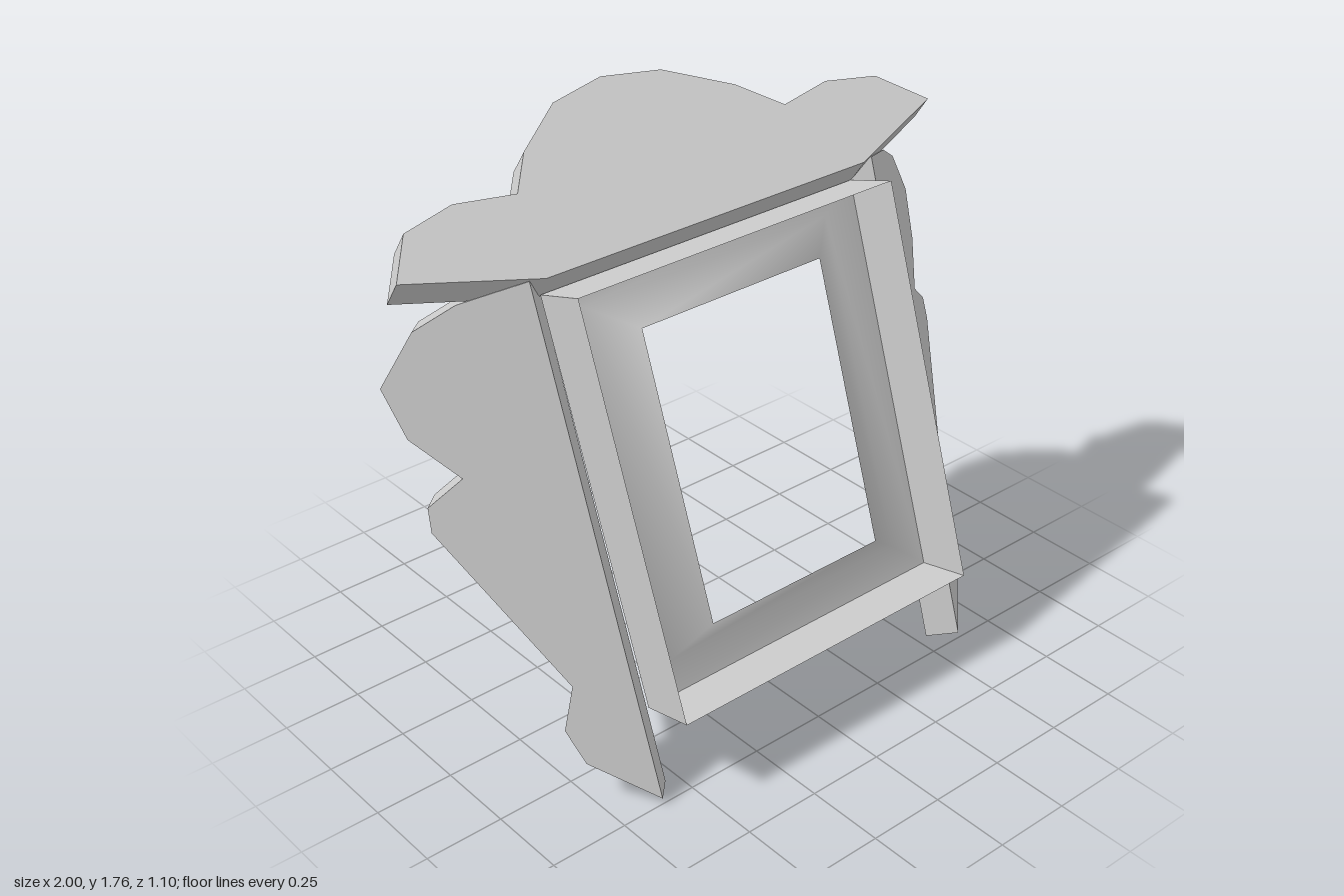
import * as THREE from 'three';
import { toCreasedNormals } from 'three/addons/utils/BufferGeometryUtils.js';

const material = new THREE.MeshStandardMaterial({ color: 0xcccccc });
const thinMaterial = new THREE.MeshStandardMaterial({ color: 0xcccccc, side: THREE.DoubleSide });

// Slab cut from an outline; place(a, b) puts an outline point on the tilted
// front face, offset leads from the front face to the back face.
function slab(name, outline, place, offset) {
  const shape = new THREE.Shape(outline.map(([a, b]) => new THREE.Vector2(a, b)));
  const geometry = new THREE.ExtrudeGeometry(shape, { depth: 1, bevelEnabled: false });
  const pos = geometry.attributes.position;
  for (let i = 0; i < pos.count; i++) {
    const p = place(pos.getX(i), pos.getY(i)).addScaledVector(offset, 1 - pos.getZ(i));
    pos.setXYZ(i, p.x, p.y, p.z);
  }
  const mesh = new THREE.Mesh(toCreasedNormals(geometry, 0.6), material);
  mesh.name = name;
  return mesh;
}

// Four corners, counterclockwise from the front
const ring = (xBottom, yBottom, zBottom, xTop, yTop, zTop) => [
  [-xBottom, yBottom, zBottom], [xBottom, yBottom, zBottom],
  [xTop, yTop, zTop], [-xTop, yTop, zTop],
];

// Skin joining four-cornered rings, from the outer to the inner one
function loft(name, rings, flat) {
  const index = [];
  for (let r = 0; r < rings.length - 1; r++) {
    for (let k = 0; k < 4; k++) {
      const a = r * 4 + k, b = r * 4 + (k + 1) % 4;
      index.push(a, b, b + 4, a, b + 4, a + 4);
    }
  }
  let geometry = new THREE.BufferGeometry();
  geometry.setAttribute('position', new THREE.Float32BufferAttribute(rings.flat(2), 3));
  geometry.setIndex(index);
  if (flat) geometry = geometry.toNonIndexed();
  geometry.computeVertexNormals();
  const mesh = new THREE.Mesh(geometry, thinMaterial);
  mesh.name = name;
  return mesh;
}

export function createModel() {
  const group = new THREE.Group();
  group.name = 'screenSurround';

  // Scalloped side wings, swept outwards and back
  const wing = [
    [0.61, 0.02], [0.76, 0.13], [0.79, 0.23], [0.75, 0.36], [0.97, 0.81], [0.965, 0.88],
    [0.875, 0.96], [0.97, 1.07], [1.0, 1.21], [0.905, 1.36], [0.8, 1.43], [0.635, 1.49],
  ];
  for (const side of [1, -1]) {
    group.add(slab(
      side > 0 ? 'leftWing' : 'rightWing',
      wing.map(([x, y]) => [side * x, y]),
      (x, y) => new THREE.Vector3(x, y, (0.54 - 0.434 * Math.abs(x) - 0.1775 * y) / 0.5435),
      new THREE.Vector3(-0.07 * side, -0.02, -0.073),
    ));
  }

  // Scalloped canopy rising towards the back
  const half = [
    [0.59, -0.015], [0.98, 0.105], [0.87, 0.23], [0.69, 0.265],
    [0.495, 0.235], [0.39, 0.345], [0.2, 0.46],
  ];
  const canopy = [...half, [0, 0.495], ...half.map(([x, b]) => [-x, b]).reverse()];
  group.add(slab(
    'canopy', canopy,
    (x, back) => new THREE.Vector3(x, 1.498 + 0.53 * back, -back),
    new THREE.Vector3(0, -0.08, -0.055),
  ));

  // Leaning frame: box walls, and a panel whose inner half bends forward to the opening
  const frontRim = ring(0.56, 0.29, 0.55, 0.58, 1.475, 0.14);
  const backRim = ring(0.56, 0.25, 0.38, 0.58, 1.42, -0.03);
  const bend = ring(0.445, 0.345, 0.345, 0.455, 1.35, -0.005);
  const opening = ring(0.325, 0.44, 0.39, 0.335, 1.285, 0.1);
  group.add(loft('frameWalls', [frontRim, backRim], true));
  group.add(loft('framePanel', [backRim, bend, opening], false));

  return group;
}
